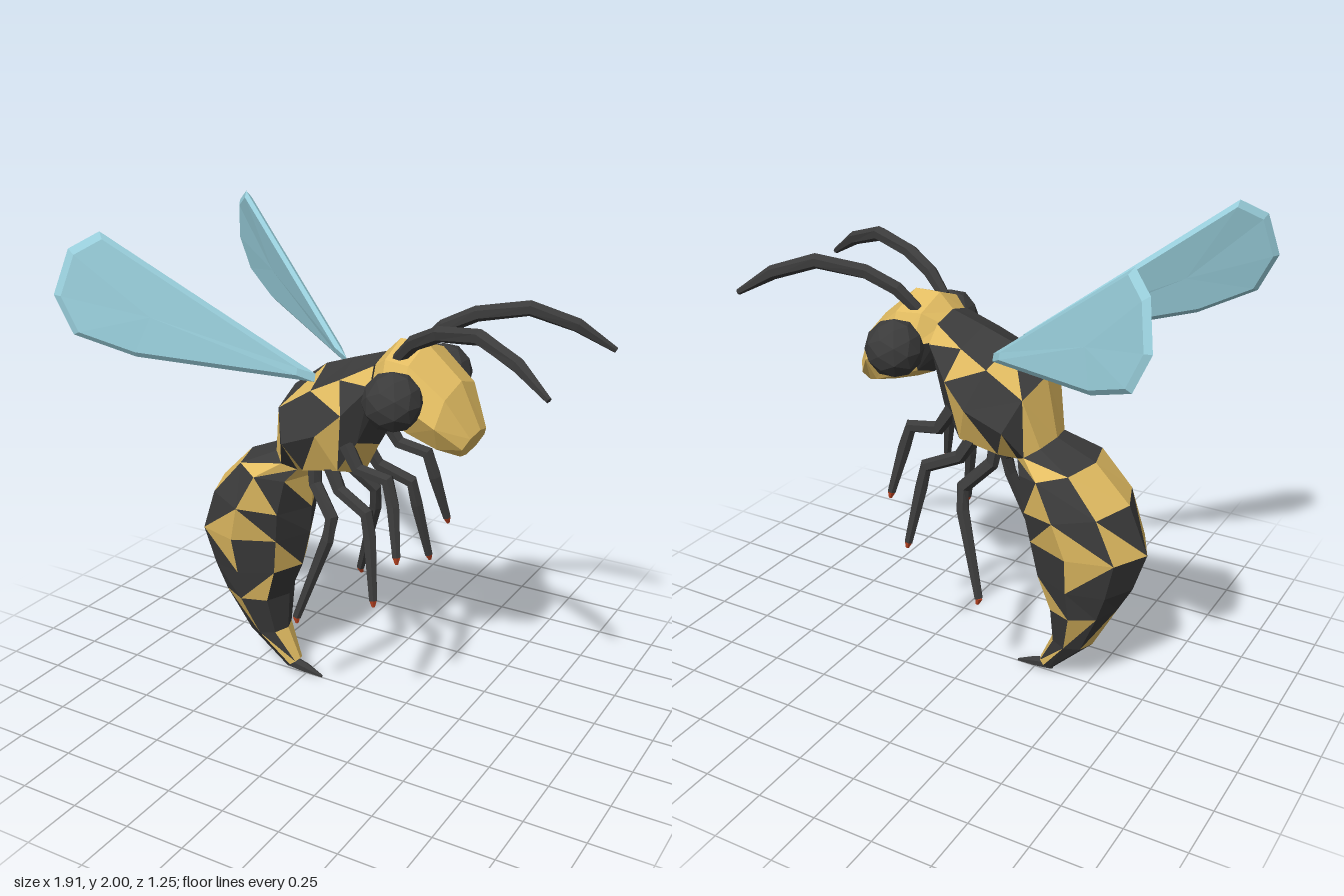
import * as THREE from 'three';

const mat = (name, color) => {
  const m = new THREE.MeshStandardMaterial({ color, flatShading: true });
  m.name = name;
  return m;
};
const V = (x, y, z) => new THREE.Vector3(x, y, z);

// Faceted skin over a list of rings (closed at both ends).
// Each paint row has one code per quad: K / Y whole quad, 1-4 split quad with one yellow triangle.
function skin(name, rings, materials, paint = () => 'K') {
  const buckets = materials.map(() => []);
  const tri = (bucket, a, b, c) => {
    const area = b.clone().sub(a).cross(c.clone().sub(a)).length();
    if (area > 1e-8) for (const p of [a, b, c]) buckets[bucket].push(p.x, p.y, p.z);
  };
  const middle = (ring) => {
    const m = V(0, 0, 0);
    ring.forEach((p) => m.add(p));
    m.divideScalar(ring.length);
    return ring.map(() => m);
  };
  const all = [middle(rings[0]), ...rings, middle(rings[rings.length - 1])];
  for (let i = 0; i < all.length - 1; i++) {
    const n = all[i].length;
    for (let k = 0; k < n; k++) {
      const j = (k + 1) % n;
      const a = all[i][k], b = all[i][j], c = all[i + 1][j], d = all[i + 1][k];
      const code = paint(i - 1, k);
      const upper = 'Y13'.includes(code) ? 1 : 0;
      const lower = 'Y24'.includes(code) ? 1 : 0;
      if ('34'.includes(code)) {
        tri(upper, a, d, b);
        tri(lower, b, d, c);
      } else {
        tri(upper, a, c, b);
        tri(lower, a, d, c);
      }
    }
  }
  const geo = new THREE.BufferGeometry();
  geo.setAttribute('position', new THREE.Float32BufferAttribute(buckets.flat(), 3));
  let start = 0;
  buckets.forEach((b, i) => {
    if (b.length) geo.addGroup(start, b.length / 3, i);
    start += b.length / 3;
  });
  geo.computeVertexNormals();
  const mesh = new THREE.Mesh(geo, materials.length > 1 ? materials : materials[0]);
  mesh.name = name;
  return mesh;
}

// Eight-sided body ring from its back point, belly point and half width
const bodyRing = ([bx, by, ux, uy, w]) => Array.from({ length: 8 }, (_, k) => {
  const t = (k * Math.PI) / 4, c = Math.cos(t);
  return V((bx + ux) / 2 + ((bx - ux) / 2) * c, (by + uy) / 2 + ((by - uy) / 2) * c, w * Math.sin(t));
});

// Repeats a half row of colour codes on the other side
const mirrored = (rows) => (i, k) => {
  const row = rows[Math.max(0, Math.min(i, rows.length - 1))];
  return k < 4 ? row[k] : ({ 1: '3', 3: '1', 2: '4', 4: '2' }[row[7 - k]] || row[7 - k]);
};

// Six-sided tapering limb through points [x, y, z, radius]
function limb(name, pts, side, material) {
  const path = pts.map(([x, y, z]) => V(x, y, z * side));
  const rings = path.map((p, i) => {
    const t = path[Math.min(i + 1, path.length - 1)].clone().sub(path[Math.max(i - 1, 0)]).normalize();
    const u = V(0, 0, 1).cross(t).normalize();
    const v = u.clone().cross(t);
    return Array.from({ length: 6 }, (_, k) => p.clone()
      .addScaledVector(u, pts[i][3] * Math.cos((k * Math.PI) / 3))
      .addScaledVector(v, pts[i][3] * Math.sin((k * Math.PI) / 3)));
  });
  return skin(name, rings, [material]);
}

// Thin flat wing with a narrow bevel
function wing(name, side, material) {
  const rim = [
    [-0.11, 1.45, 0.12], [-0.83, 2.0, 0.49], [-0.92, 1.94, 0.57], [-0.96, 1.77, 0.625],
    [-0.89, 1.62, 0.61], [-0.69, 1.53, 0.49], [-0.11, 1.42, 0.13],
  ].map(([x, y, z]) => V(x, y, z * side));
  const hub = V(-0.72, 1.74, 0.47 * side);
  const face = (s) => rim.map((p) => p.clone().lerp(hub, 0.1).add(V(0.008 * side * s, 0, 0.014 * s)));
  return skin(name, [face(1), rim, face(-1)], [material]);
}

export function createModel() {
  const black = mat('black', 0x3b3b3b);
  const yellow = mat('yellow', 0xe3bd62);
  const blue = mat('wing blue', 0x9ad0dd);
  const red = mat('claw red', 0xb5401f);
  const model = new THREE.Group();
  model.name = 'wasp';

  // Thorax and abdomen, from neck to tail
  const thorax = [
    [0.14, 1.55, 0.17, 1.35, 0.16], [0.0, 1.505, 0.11, 1.16, 0.215],
    [-0.13, 1.46, 0.04, 1.02, 0.24], [-0.28, 1.35, -0.13, 1.0, 0.23], [-0.33, 1.1, -0.19, 1.01, 0.15],
  ];
  const abdomen = [
    [-0.33, 1.1, -0.19, 1.01, 0.15], [-0.5, 1.03, -0.2, 0.97, 0.22], [-0.65, 0.88, -0.21, 0.82, 0.24],
    [-0.735, 0.68, -0.22, 0.7, 0.215], [-0.68, 0.51, -0.26, 0.54, 0.185], [-0.62, 0.4, -0.33, 0.38, 0.16],
    [-0.515, 0.2, -0.34, 0.21, 0.095], [-0.34, 0.03, -0.28, 0.07, 0.04],
  ];
  model.add(skin('thorax', thorax.map(bodyRing), [black, yellow],
    mirrored(['K3KK', 'K32Y', '1K1Y', 'Y21Y'])));
  model.add(skin('abdomen', abdomen.map(bodyRing), [black, yellow],
    mirrored(['K43Y', 'YK21', '442K', 'K1K2', 'KK4K', '21KK', 'KK2Y'])));
  model.add(limb('stinger', [[-0.33, 0.045, 0, 0.028], [-0.25, 0.03, 0, 0.022], [-0.17, 0.01, 0, 0.006]], 1, black));

  // Head, from face to neck
  const head = [
    [0.545, 1.3, 0.49, 1.19, 0.1], [0.46, 1.48, 0.42, 1.2, 0.185], [0.31, 1.61, 0.31, 1.235, 0.21],
    [0.2, 1.61, 0.23, 1.27, 0.19], [0.13, 1.54, 0.15, 1.37, 0.13],
  ];
  model.add(skin('head', head.map(bodyRing), [black, yellow], mirrored(['YYYY', 'YYYY', 'YYYY', 'YYKK'])));

  // Leg paths from hip to foot
  const legs = {
    frontLeg: [[0.05, 1.2, 0.16], [0.11, 1.11, 0.17], [0.24, 1.09, 0.17], [0.27, 0.99, 0.18], [0.31, 0.8, 0.222]],
    middleLeg: [[-0.04, 1.1, 0.14], [0.02, 1.0, 0.16], [0.16, 0.94, 0.19], [0.18, 0.84, 0.2], [0.22, 0.6, 0.243]],
    hindLeg: [[-0.12, 1.06, 0.12], [-0.11, 0.99, 0.13], [-0.005, 0.88, 0.18], [-0.015, 0.79, 0.2], [-0.125, 0.445, 0.265]],
  };
  const legRadii = [0.032, 0.029, 0.029, 0.028, 0.018];
  const antenna = [
    [0.24, 1.56, 0.1, 0.024], [0.32, 1.64, 0.125, 0.03], [0.44, 1.7, 0.16, 0.031],
    [0.63, 1.732, 0.225, 0.031], [0.8, 1.675, 0.285, 0.029], [0.94, 1.585, 0.335, 0.012],
  ];

  // Paired parts
  for (const side of [1, -1]) {
    const pair = new THREE.Group();
    pair.name = side > 0 ? 'nearSideParts' : 'farSideParts';
    const eye = new THREE.Mesh(new THREE.IcosahedronGeometry(0.117, 1), black);
    eye.name = 'eye';
    eye.position.set(0.28, 1.43, 0.213 * side);
    pair.add(eye, limb('antenna', antenna, side, black), wing('wing', side, blue));
    for (const [name, path] of Object.entries(legs)) {
      pair.add(limb(name, path.map((p, i) => [...p, legRadii[i]]), side, black));
      const [x, y, z] = path[4];
      pair.add(limb(name + 'Claw', [[x, y, z, 0.017], [x + 0.004, y - 0.026, z + 0.005, 0.007]], side, red));
    }
    model.add(pair);
  }
  return model;
}
